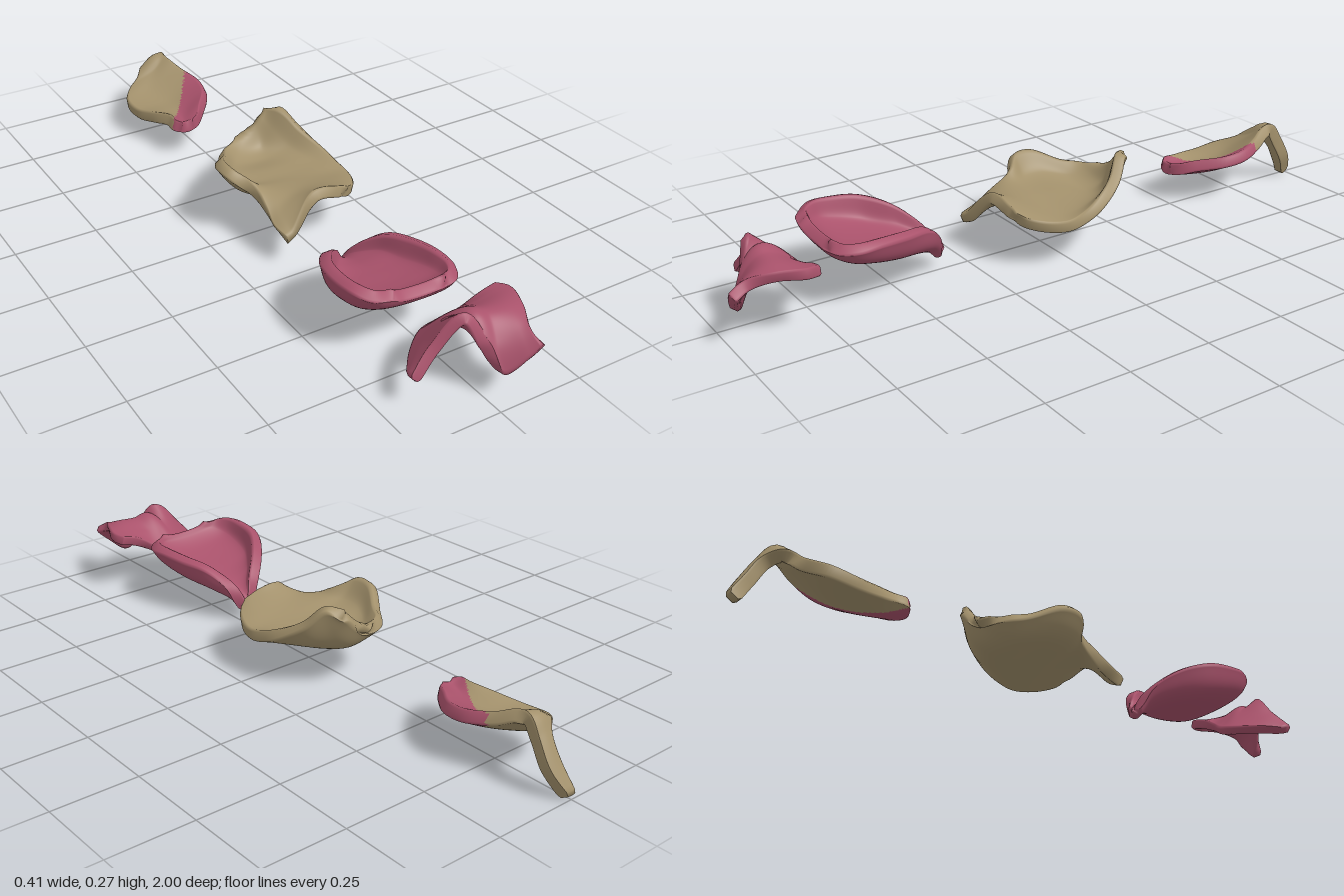
import * as THREE from 'three';

const ROWS = 64, COLS = 44;
const pink = new THREE.MeshStandardMaterial({ color: 0xa9526b });
pink.name = 'rose pink';
const tan = new THREE.MeshStandardMaterial({ color: 0xa3916c });
tan.name = 'dry tan';

const spline = (pts, n) => {
  const curve = new THREE.CatmullRomCurve3(pts);
  return Array.from({ length: n + 1 }, (_, i) => curve.getPoint(i / n));
};

// Cross-section: xs and ys across the petal, z shared or one per point
const row = (z, xs, ys) =>
  xs.map((x, i) => new THREE.Vector3(x, ys[i], Array.isArray(z) ? z[i] : z));

// Thick curled petal lofted through cross-sections; isSecond picks faces for the second material
function petal(name, sections, thickness, materials, isSecond = () => false) {
  const across = sections.map((s) => spline(s, COLS));
  const columns = [];
  for (let j = 0; j <= COLS; j++) columns.push(spline(across.map((r) => r[j]), ROWS));
  const at = (i, j) =>
    columns[Math.min(COLS, Math.max(0, j))][Math.min(ROWS, Math.max(0, i))];

  // Upper and lower skins, offset from the middle surface and thinner at the rim
  const upper = [], lower = [];
  for (let i = 0; i <= ROWS; i++) {
    for (let j = 0; j <= COLS; j++) {
      const du = at(i + 1, j).clone().sub(at(i - 1, j));
      const dv = at(i, j + 1).clone().sub(at(i, j - 1));
      const n = du.cross(dv).normalize();
      const rim = i === 0 || j === 0 || i === ROWS || j === COLS;
      const h = (thickness / 2) * (rim ? 0.65 : 1);
      upper.push(at(i, j).clone().addScaledVector(n, h));
      lower.push(at(i, j).clone().addScaledVector(n, -h));
    }
  }
  const points = [...upper, ...lower];
  const off = upper.length;
  const id = (i, j) => i * (COLS + 1) + j;
  const sets = [[], []];
  const tri = (a, b, c) => {
    const m = points[a].clone().add(points[b]).add(points[c]).divideScalar(3);
    sets[isSecond(m) ? 1 : 0].push(a, b, c);
  };
  for (let i = 0; i < ROWS; i++) {
    for (let j = 0; j < COLS; j++) {
      const a = id(i, j), b = id(i + 1, j), c = id(i + 1, j + 1), d = id(i, j + 1);
      tri(a, b, c);
      tri(a, c, d);
      tri(off + a, off + c, off + b);
      tri(off + a, off + d, off + c);
    }
  }

  // Rim wall around the border
  const loop = [];
  for (let i = 0; i < ROWS; i++) loop.push(id(i, 0));
  for (let j = 0; j < COLS; j++) loop.push(id(ROWS, j));
  for (let i = ROWS; i > 0; i--) loop.push(id(i, COLS));
  for (let j = COLS; j > 0; j--) loop.push(id(0, j));
  loop.forEach((p, k) => {
    const q = loop[(k + 1) % loop.length];
    tri(off + p, off + q, q);
    tri(off + p, q, p);
  });

  const geometry = new THREE.BufferGeometry().setFromPoints(points);
  geometry.setIndex([...sets[0], ...sets[1]]);
  geometry.addGroup(0, sets[0].length, 0);
  if (sets[1].length) geometry.addGroup(sets[0].length, sets[1].length, 1);
  geometry.computeVertexNormals();
  const mesh = new THREE.Mesh(geometry, materials);
  mesh.name = name;
  return mesh;
}

export function createModel() {
  const group = new THREE.Group();
  group.name = 'scatteredPetals';

  // Rear petal with a drooping stem, tan turning pink along a diagonal
  group.add(petal('stemmedPetal', [
    row(-0.99, [-0.014, 0, 0.015], [0.007, 0.006, 0.007]),
    row(-0.95, [0, 0.022, 0.045], [0.07, 0.078, 0.075]),
    row(-0.91, [0, 0.022, 0.045], [0.135, 0.145, 0.142]),
    row(-0.88, [-0.03, 0.01, 0.045], [0.15, 0.18, 0.185]),
    row(-0.85, [-0.09, 0, 0.05], [0.11, 0.15, 0.185]),
    row(-0.8, [-0.135, -0.04, 0.07], [0.09, 0.108, 0.163]),
    row(-0.72, [-0.138, -0.02, 0.095], [0.083, 0.092, 0.145]),
    row(-0.65, [-0.115, -0.02, 0.085], [0.095, 0.09, 0.135]),
    row(-0.58, [-0.09, -0.04, 0.035], [0.11, 0.09, 0.122]),
    row(-0.54, [-0.09, -0.05, 0], [0.108, 0.095, 0.108]),
    row(-0.523, [-0.07, -0.05, -0.03], [0.102, 0.1, 0.102]),
  ], 0.036, [tan, pink], (p) => p.x + 0.7 * p.z > -0.47));

  // Broad tan petal with a raised back rim and a drooping front corner
  group.add(petal('broadPetal', [
    row(-0.247, [0, 0.02, 0.04, 0.06, 0.08], [0.17, 0.19, 0.215, 0.235, 0.245]),
    row(-0.21, [-0.09, -0.04, 0.04, 0.085, 0.11], [0.17, 0.15, 0.145, 0.195, 0.263]),
    row(-0.16, [-0.125, -0.08, 0.03, 0.11, 0.15], [0.18, 0.138, 0.12, 0.15, 0.21]),
    row(-0.08, [-0.175, -0.12, 0.01, 0.13, 0.185], [0.215, 0.15, 0.128, 0.13, 0.16]),
    row(-0.02, [-0.175, -0.12, 0.01, 0.14, 0.195], [0.213, 0.15, 0.13, 0.125, 0.135]),
    row(0.03, [-0.13, -0.09, 0.01, 0.14, 0.197], [0.17, 0.15, 0.137, 0.125, 0.125]),
    row(0.09, [-0.12, -0.08, 0.01, 0.12, 0.178], [0.13, 0.14, 0.147, 0.138, 0.128]),
    row(0.14, [-0.118, -0.09, 0, 0.1, 0.14], [0.098, 0.118, 0.163, 0.153, 0.14]),
    row([0.2, 0.195, 0.17, 0.165, 0.155], [-0.112, -0.085, 0, 0.08, 0.11],
      [0.08, 0.09, 0.178, 0.165, 0.152]),
  ], 0.034, [tan]));

  // Pink cupped petal, pointed at the back
  group.add(petal('cuppedPetal', [
    row(0.33, [-0.035, -0.03, -0.02, -0.01, 0], [0.055, 0.045, 0.04, 0.045, 0.055]),
    row(0.36, [-0.07, -0.05, -0.02, 0.01, 0.025], [0.12, 0.085, 0.068, 0.085, 0.12]),
    row(0.42, [-0.13, -0.1, -0.02, 0.05, 0.065], [0.175, 0.115, 0.088, 0.115, 0.17]),
    row(0.5, [-0.18, -0.15, -0.03, 0.07, 0.098], [0.205, 0.13, 0.103, 0.123, 0.185]),
    row(0.58, [-0.193, -0.165, -0.03, 0.085, 0.113], [0.213, 0.148, 0.118, 0.138, 0.19]),
    row(0.64, [-0.187, -0.16, -0.03, 0.082, 0.113], [0.215, 0.163, 0.137, 0.15, 0.187]),
    row(0.68, [-0.16, -0.13, -0.03, 0.065, 0.09], [0.205, 0.178, 0.163, 0.168, 0.185]),
    row(0.697, [-0.11, -0.08, -0.03, 0.02, 0.05], [0.2, 0.19, 0.185, 0.185, 0.185]),
  ], 0.034, [pink]));

  // Pink folded petal: a sloping wing on its right, a tented wing on its left
  group.add(petal('foldedPetal', [
    row([0.877, 0.865, 0.85], [-0.17, -0.17, -0.16], [0.083, 0.08, 0.077]),
    row([0.87, 0.83, 0.79], [-0.11, -0.11, -0.11], [0.15, 0.118, 0.08]),
    row([0.89, 0.81, 0.74], [-0.04, -0.04, -0.045], [0.225, 0.155, 0.083]),
    row([0.925, 0.86, 0.74], [0, 0, 0], [0.145, 0.2, 0.095]),
    row([0.957, 0.92, 0.87, 0.81, 0.765], [0.035, 0.035, 0.04, 0.045, 0.05],
      [0.073, 0.145, 0.19, 0.165, 0.128]),
    row([0.985, 0.94, 0.88, 0.81, 0.77], [0.09, 0.09, 0.1, 0.12, 0.105],
      [0.117, 0.16, 0.188, 0.177, 0.162]),
    row([0.993, 0.95, 0.88, 0.81, 0.77], [0.122, 0.115, 0.145, 0.17, 0.155],
      [0.15, 0.168, 0.182, 0.182, 0.177]),
  ], 0.03, [pink]));

  return group;
}
